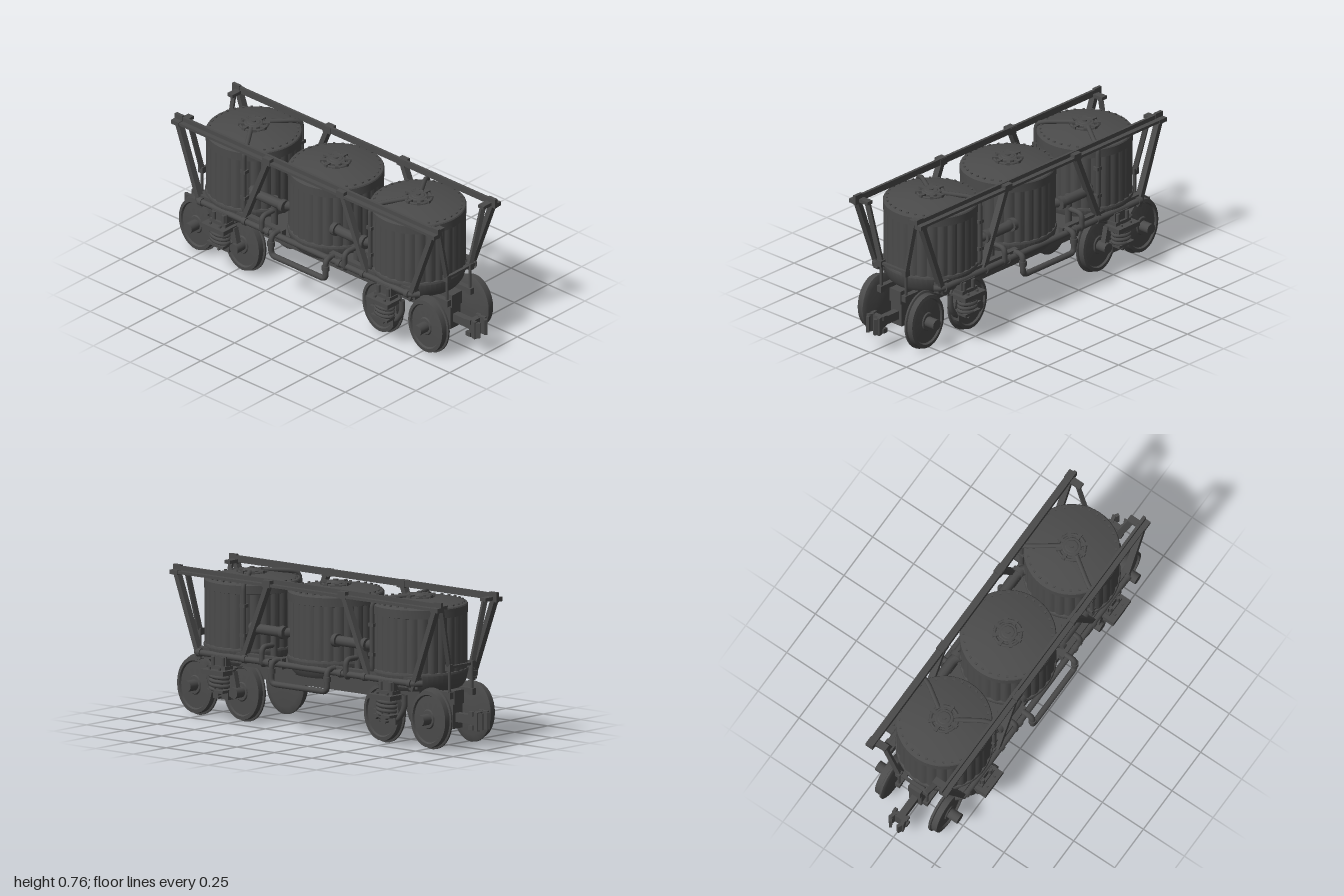
import * as THREE from 'three';
import { toCreasedNormals } from 'three/addons/utils/BufferGeometryUtils.js';

const V = (x, y, z) => new THREE.Vector3(x, y, z);
const iron = new THREE.MeshStandardMaterial({ color: 0x4b4b4b, side: THREE.DoubleSide });
iron.name = 'dark iron';

export function createModel() {
  const model = new THREE.Group();
  model.name = 'tankWagon';

  // ---- helpers ----
  const add = (name, geo, x = 0, y = 0, z = 0, parent = model) => {
    const m = new THREE.Mesh(geo, iron);
    m.name = name;
    m.position.set(x, y, z);
    parent.add(m);
    return m;
  };
  const box = (name, w, h, d, x, y, z, parent) => add(name, new THREE.BoxGeometry(w, h, d), x, y, z, parent);
  const cyl = (name, r, len, x, y, z, axis = 'y', parent = model, seg = 16) => {
    const g = new THREE.CylinderGeometry(r, r, len, seg);
    if (axis === 'x') g.rotateZ(Math.PI / 2);
    if (axis === 'z') g.rotateX(Math.PI / 2);
    return add(name, g, x, y, z, parent);
  };
  const strut = (name, a, b, w, d, parent = model) => {
    const m = add(name, new THREE.BoxGeometry(w, a.distanceTo(b), d), 0, 0, 0, parent);
    m.position.copy(a).add(b).multiplyScalar(0.5);
    m.quaternion.setFromUnitVectors(V(0, 1, 0), b.clone().sub(a).normalize());
    return m;
  };
  // pipe through corner points, with rounded bends
  const pipe = (name, pts, r, parent = model, bend = 0.03) => {
    const path = new THREE.CurvePath();
    let last = pts[0];
    for (let i = 1; i < pts.length - 1; i++) {
      const toward = (q) => {
        const d = q.clone().sub(pts[i]);
        return pts[i].clone().addScaledVector(d.clone().normalize(), Math.min(bend, d.length() * 0.45));
      };
      const p = toward(pts[i - 1]), q = toward(pts[i + 1]);
      path.add(new THREE.LineCurve3(last, p));
      path.add(new THREE.QuadraticBezierCurve3(p, pts[i], q));
      last = q;
    }
    path.add(new THREE.LineCurve3(last, pts[pts.length - 1]));
    return add(name, new THREE.TubeGeometry(path, pts.length * 14, r, 10), 0, 0, 0, parent);
  };
  const lathe = (pts, seg = 56) =>
    toCreasedNormals(new THREE.LatheGeometry(pts.map(p => new THREE.Vector2(...p)), seg), 0.5);

  // ---- tanks: round fluted drums with domed riveted lids ----
  const R = 0.242;
  const flutes = new THREE.CylinderGeometry(1, 1, 0.3, 168, 1, true);
  const pos = flutes.attributes.position;
  for (let i = 0; i < pos.count; i++) {
    const a = Math.atan2(pos.getX(i), pos.getZ(i));
    const k = R * (0.96 + 0.03 * Math.abs(Math.sin(a * 14)));
    pos.setXYZ(i, pos.getX(i) * k, pos.getY(i), pos.getZ(i) * k);
  }
  flutes.computeVertexNormals();
  const staves = toCreasedNormals(flutes, 0.5);
  const lid = lathe([[0.232, 0.652], [R, 0.655], [R, 0.698], [0.238, 0.704], [0.23, 0.706], [0.19, 0.715], [0.105, 0.73], [0, 0.734]]);
  const skirt = lathe([[0, 0.285], [0.215, 0.285], [0.232, 0.31], [0.245, 0.365], [0.242, 0.376], [0.228, 0.38]]);
  const hatch = lathe([[0.05, 0.722], [0.05, 0.742], [0.044, 0.747], [0.034, 0.747], [0.03, 0.75], [0, 0.752]], 24);
  for (const z of [-0.557, 0, 0.557]) {
    const g = new THREE.Group();
    g.name = 'tank';
    g.position.z = z;
    model.add(g);
    add('flutedWall', staves, 0, 0.515, 0, g);
    add('lid', lid, 0, 0, 0, g);
    add('lowerSkirt', skirt, 0, 0, 0, g);
    add('hatch', hatch, 0, 0, 0, g);
    cyl('hatchKnob', 0.012, 0.01, 0, 0.753, 0, 'y', g);
    add('hatchRing', new THREE.TorusGeometry(0.068, 0.008, 8, 24).rotateX(Math.PI / 2), 0, 0.733, 0, g);
    for (let i = 0; i < 8; i++) {
      const a = i * Math.PI / 4;
      box('hatchClamp', 0.018, 0.018, 0.036, 0.062 * Math.sin(a), 0.736, 0.062 * Math.cos(a), g).rotation.y = a;
    }
    for (let i = 0; i < 32; i++) {
      const a = i * Math.PI / 16;
      box('rivet', 0.012, 0.008, 0.01, 0.222 * Math.sin(a), 0.71, 0.222 * Math.cos(a), g).rotation.y = a;
    }
  }

  // ---- underframe ----
  box('underframe', 0.28, 0.07, 1.36, 0, 0.26, 0);
  box('deck', 0.4, 0.04, 1.2, 0, 0.31, 0);

  // ---- wheel profile, turned about the axle ----
  const wheelGeo = lathe([[0, 0.128], [0.05, 0.13], [0.12, 0.137], [0.15, 0.141], [0.156, 0.144], [0.156, 0.154], [0.145, 0.157],
    [0.143, 0.188], [0.124, 0.19], [0.118, 0.18], [0.05, 0.184], [0.045, 0.19], [0, 0.19]], 32)
    .rotateZ(-Math.PI / 2).scale(1, 1, 0.81);
  class Coil extends THREE.Curve {
    getPoint(t, out = V(0, 0, 0)) {
      const a = t * Math.PI * 7;
      return out.set(0.035 * Math.cos(a), 0.168 + 0.075 * t, 0.05 * Math.sin(a));
    }
  }
  const springGeo = new THREE.TubeGeometry(new Coil(), 96, 0.01, 8);

  // ---- everything on one side of one end, repeated for four corners ----
  const corner = (sx, sz) => {
    const g = new THREE.Group();
    g.name = 'cornerAssembly';
    model.add(g);
    const P = (x, y, z) => V(x * sx, y, z * sz);
    const b = (n, w, h, d, x, y, z) => box(n, w, h, d, x * sx, y, z * sz, g);

    // wheels and axle ends
    for (const z of [0.777, 0.466]) {
      const w = add('wheel', wheelGeo, 0, 0.156, z * sz, g);
      if (sx < 0) w.rotation.y = Math.PI;
      cyl('axleEnd', 0.028, 0.065, 0.217 * sx, 0.156, z * sz, 'x', g);
    }
    // sprung bogie side
    add('spring', springGeo, 0.25 * sx, 0, 0.557 * sz, g);
    cyl('springCore', 0.018, 0.1, 0.25 * sx, 0.205, 0.557 * sz, 'y', g);
    b('springSeat', 0.08, 0.014, 0.11, 0.25, 0.16, 0.557);
    b('springPlate', 0.1, 0.024, 0.15, 0.258, 0.257, 0.557);
    b('springPlateStep', 0.06, 0.02, 0.11, 0.238, 0.277, 0.557);
    b('bolster', 0.05, 0.06, 0.1, 0.23, 0.305, 0.557);
    for (const z of [0.525, 0.59]) {
      cyl('bolsterPost', 0.011, 0.07, 0.258 * sx, 0.295, z * sz, 'y', g, 8);
      cyl('springBolt', 0.007, 0.016, 0.285 * sx, 0.272, z * sz, 'y', g, 6);
    }
    pipe('bogieArm', [P(0.22, 0.27, 0.65), P(0.22, 0.2, 0.65), P(0.22, 0.14, 0.61), P(0.22, 0.135, 0.51), P(0.22, 0.156, 0.466)], 0.015, g);
    strut('bogieBrace', P(0.22, 0.26, 0.49), P(0.22, 0.156, 0.466), 0.03, 0.03, g);
    b('springCradle', 0.04, 0.05, 0.1, 0.22, 0.14, 0.557);
    for (const y of [0.127, 0.143]) cyl('cradleBolt', 0.007, 0.03, 0.25 * sx, y, 0.557 * sz, 'x', g, 6);

    // side sill and brake pipe
    b('sideSill', 0.03, 0.055, 0.58, 0.21, 0.335, 0.45);
    pipe('brakePipe', [P(0.2, 0.335, 0.75), P(0.235, 0.335, 0.72), P(0.235, 0.335, 0.22), P(0.235, 0.335, 0)], 0.016, g);
    for (const z of [0.24, 0.4, 0.7]) cyl('pipeCollar', 0.021, 0.022, 0.235 * sx, 0.335, z * sz, 'z', g);
    pipe('archedPipe', [P(0.2, 0.32, 0.28), P(0.243, 0.32, 0.28), P(0.243, 0.41, 0.28), P(0.16, 0.41, 0.28)], 0.014, g);

    // pipe joining neighbouring tanks
    pipe('tankLink', [P(0.15, 0.49, 0.43), P(0.195, 0.49, 0.37), P(0.195, 0.49, 0.19), P(0.15, 0.49, 0.13)], 0.026, g);
    for (const z of [0.175, 0.37]) cyl('linkFlange', 0.034, 0.024, 0.195 * sx, 0.49, z * sz, 'z', g);
    cyl('linkStandpipe', 0.018, 0.17, 0.15 * sx, 0.4, 0.28 * sz, 'y', g);

    // lid pipe running down the wall
    pipe('lidPipe', [P(0.05, 0.739, 0.53), P(0.17, 0.728, 0.448), P(0.214, 0.71, 0.428), P(0.214, 0.37, 0.428), P(0.18, 0.35, 0.428)], 0.012, g);
    for (const y of [0.45, 0.6]) b('pipeClip', 0.03, 0.018, 0.034, 0.21, y, 0.428);

    // top rail brackets and slanted struts
    b('railEnd', 0.042, 0.022, 0.05, 0.226, 0.724, 0.867);
    b('railEndPlate', 0.017, 0.05, 0.05, 0.211, 0.736, 0.867);
    b('endBracket', 0.062, 0.018, 0.036, 0.175, 0.728, 0.85);
    b('railJoint', 0.044, 0.036, 0.05, 0.224, 0.733, 0.25);
    strut('outerStrut', P(0.222, 0.725, 0.862), P(0.222, 0.3, 0.705), 0.034, 0.026, g);
    strut('innerStrut', P(0.222, 0.725, 0.255), P(0.222, 0.33, 0.42), 0.034, 0.026, g);

    // end frame
    strut('endStrut', P(0.165, 0.722, 0.845), P(0.088, 0.42, 0.83), 0.024, 0.02, g);
    for (const y of [0.41, 0.27]) b('endJoint', 0.028, 0.034, 0.032, 0.085, y, 0.83);
    cyl('endPost', 0.008, 0.14, 0.085 * sx, 0.34, 0.83 * sz, 'y', g, 8);
    b('endFoot', 0.028, 0.025, 0.15, 0.085, 0.275, 0.755);
  };

  for (const s of [-1, 1]) {
    corner(s, 1);
    corner(s, -1);

    // long angle-iron top rail and hanging step loop
    box('topRailWeb', 0.014, 0.034, 1.74, s * 0.211, 0.738, 0);
    box('topRailFlange', 0.03, 0.014, 1.74, s * 0.229, 0.726, 0);
    pipe('stepLoop', [V(s * 0.22, 0.352, 0.185), V(s * 0.278, 0.352, 0.185), V(s * 0.278, 0.24, 0.185),
      V(s * 0.278, 0.24, -0.185), V(s * 0.278, 0.352, -0.185), V(s * 0.22, 0.352, -0.185)], 0.015);
    for (const z of [-0.185, 0.185]) cyl('loopCollar', 0.02, 0.025, s * 0.278, 0.305, z, 'y');

    // end beams and coupler
    box('endCrossbar', 0.17, 0.013, 0.016, 0, 0.412, s * 0.83);
    box('draftBeam', 0.074, 0.07, 0.2, 0, 0.25, s * 0.72);
    box('draftBox', 0.074, 0.185, 0.1, 0, 0.183, s * 0.76);
    box('couplerShaft', 0.036, 0.045, 0.15, 0, 0.148, s * 0.865);
    box('couplerHead', 0.055, 0.085, 0.03, 0, 0.145, s * 0.942);
    for (const x of [-1, 1]) {
      box('couplerJaw', 0.018, 0.095, 0.04, x * 0.032, 0.146, s * 0.962).rotation.y = x * s * 0.25;
      box('couplerTip', 0.016, 0.085, 0.03, x * 0.028, 0.146, s * 0.984).rotation.y = -x * s * 0.5;
      for (const y of [0.113, 0.182]) box('couplerLug', 0.016, 0.024, 0.03, x * 0.037, y, s * 0.935);
    }
  }
  return model;
}
